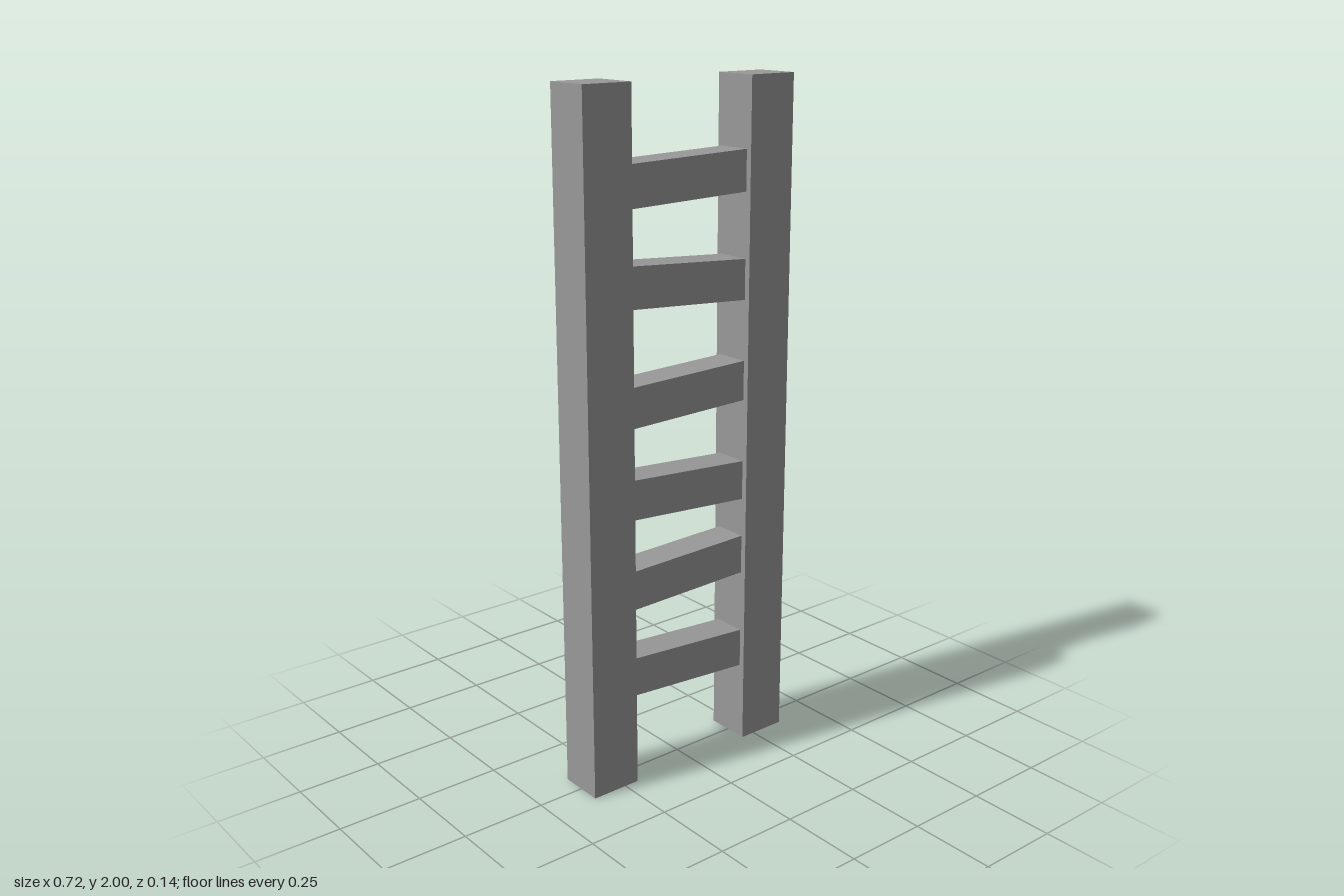
import * as THREE from 'three';

export function createModel() {
  const ladder = new THREE.Group();
  ladder.name = 'ladder';
  const material = new THREE.MeshStandardMaterial({ color: 0x999999, flatShading: true });

  function addBeam(name, width, height, depth, x, y, tilt = 0) {
    const beam = new THREE.Mesh(new THREE.BoxGeometry(width, height, depth), material);
    beam.name = name;
    beam.position.set(x, y, 0);
    beam.rotation.z = tilt;
    ladder.add(beam);
  }

  // Two upright posts
  addBeam('leftRail', 0.154, 2, 0.137, 0.282, 1);
  addBeam('rightRail', 0.154, 2, 0.137, -0.282, 1);

  // Rungs, bottom to top, alternately tilted and let into the posts
  [0.313, 0.6, 0.853, 1.137, 1.451, 1.737].forEach((y, i) => {
    addBeam(`rung${i + 1}`, 0.43, 0.117, 0.102, 0, y, i % 2 ? 0.025 : -0.068);
  });

  return ladder;
}
